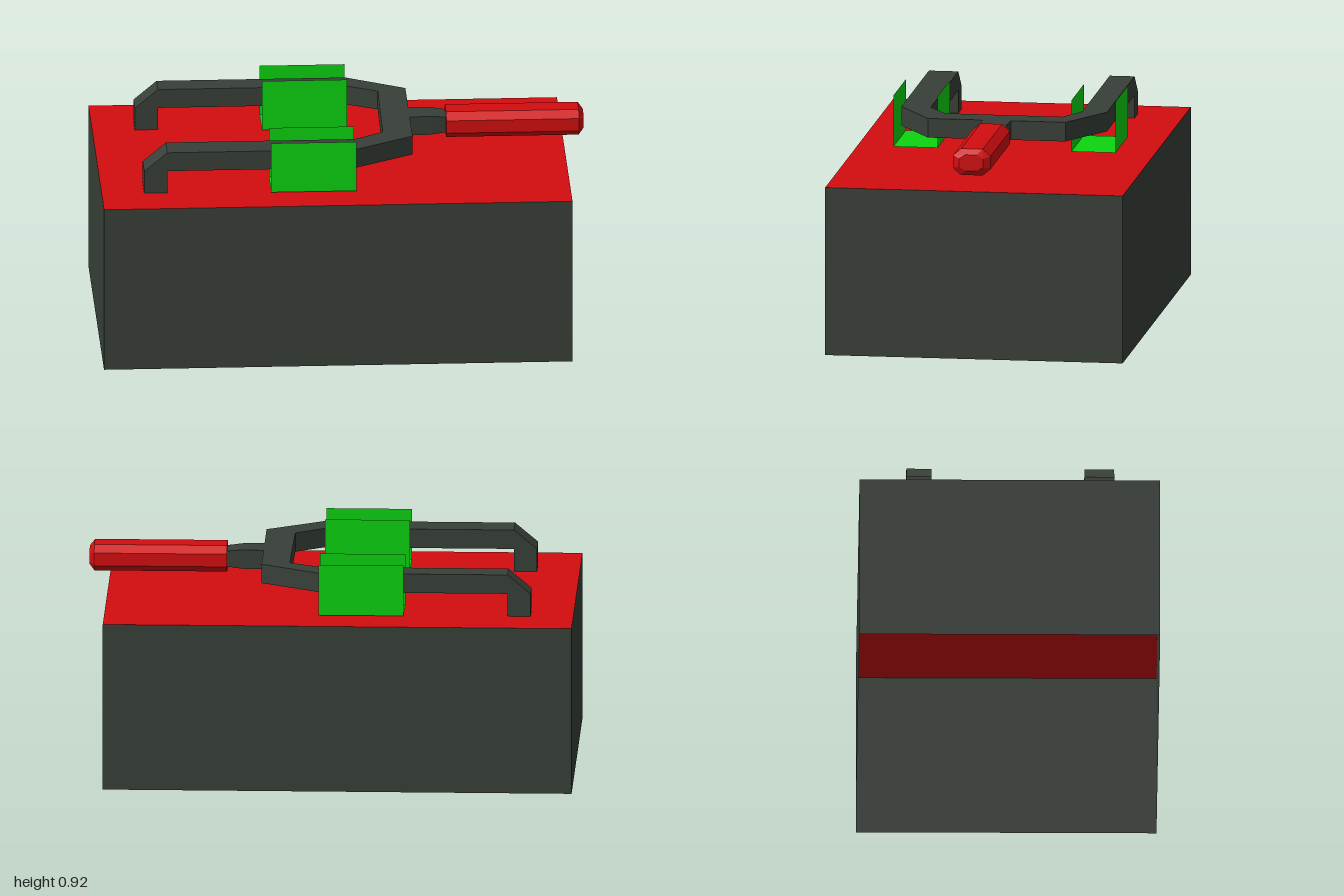
import * as THREE from 'three';

const material = (name, color) => {
  const m = new THREE.MeshStandardMaterial({ color, flatShading: true, side: THREE.DoubleSide });
  m.name = name;
  return m;
};

// Loft closed [y, z] rings along x, with both ends capped.
function loft(sections) {
  const n = sections[0].ring.length, pos = [];
  const at = (s, i) => [s.x, s.ring[i % n][0], s.ring[i % n][1]];
  for (let k = 0; k < sections.length - 1; k++) {
    const a = sections[k], b = sections[k + 1];
    for (let i = 0; i < n; i++) {
      pos.push(...at(a, i), ...at(b, i + 1), ...at(b, i));
      pos.push(...at(a, i), ...at(a, i + 1), ...at(b, i + 1));
    }
  }
  const first = sections[0], last = sections[sections.length - 1];
  for (let i = 1; i < n - 1; i++) {
    pos.push(...at(first, 0), ...at(first, i + 1), ...at(first, i));
    pos.push(...at(last, 0), ...at(last, i), ...at(last, i + 1));
  }
  const g = new THREE.BufferGeometry();
  g.setAttribute('position', new THREE.Float32BufferAttribute(pos, 3));
  g.computeVertexNormals();
  return g;
}

// Cut-corner ring: half height h, half width w, half flats fh (side) and fw (top).
const octagon = (cy, h, w, fh, fw) => [
  [h, fw], [h, -fw], [fh, -w], [-fh, -w], [-h, -fw], [-h, fw], [-fh, w], [fh, w],
].map(([y, z]) => [cy + y, z]);

const rect = (y0, y1, w) => [[y1, w], [y1, -w], [y0, -w], [y0, w]];

const polygon = (pts) => new THREE.Shape(pts.map(([x, y]) => new THREE.Vector2(x, y)));
const extrude = (pts, depth) =>
  new THREE.ExtrudeGeometry(polygon(pts), { depth, bevelEnabled: false });

export function createModel() {
  const model = new THREE.Group();
  model.name = 'knifeSwitch';
  const dark = material('darkGrey', 0x383f38);
  const red = material('red', 0xd30d0f);
  const green = material('green', 0x0cd410);

  const add = (name, geometry, mat, parent = model) => {
    const mesh = new THREE.Mesh(geometry, mat);
    mesh.name = name;
    parent.add(mesh);
    return mesh;
  };

  // Hollow base, open underneath
  const X0 = -1, X1 = 0.925, H = 0.7, Z = 0.617;
  const cx = (X0 + X1) / 2, W = X1 - X0;
  for (const s of [1, -1]) {
    const turn = s > 0 ? 0 : Math.PI;
    add(s > 0 ? 'frontWall' : 'backWall',
      new THREE.PlaneGeometry(W, H).rotateY(turn).translate(cx, H / 2, s * Z), dark);
    add(s > 0 ? 'leftWall' : 'rightWall',
      new THREE.PlaneGeometry(2 * Z, H).rotateY(s * Math.PI / 2)
        .translate(s > 0 ? X1 : X0, H / 2, 0), dark);
  }
  add('topPanel', new THREE.PlaneGeometry(W, 2 * Z).rotateX(-Math.PI / 2).translate(cx, H, 0), red);

  // Forked lever, outlined as [x, z] and raised to its thickness
  const y0 = 0.795, y1 = 0.875, hookX = -0.73;
  const outline = [
    [hookX, 0.43], [0.045, 0.43], [0.285, 0.285], [0.285, -0.285], [0.045, -0.423],
    [hookX, -0.423], [hookX, -0.32], [0.045, -0.32], [0.17, -0.255],
    [0.165, 0.23], [0.045, 0.308], [hookX, 0.308],
  ];
  add('fork', extrude(outline.map(([x, z]) => [x, -z]), y1 - y0)
    .rotateX(-Math.PI / 2).translate(0, y0, 0), dark);

  // Bent feet at the ends of the fork
  const hook = [[-0.825, H], [hookX, H], [hookX, y1], [-0.825, y0]];
  for (const [name, z0, z1] of [['frontFoot', 0.308, 0.43], ['backFoot', -0.423, -0.32]]) {
    add(name, extrude(hook, z1 - z0).translate(0, 0, z0), dark);
  }

  // Stem tapering into the handle
  add('stem', loft([
    { x: 0.28, ring: rect(y0, y1, 0.06) },
    { x: 0.37, ring: rect(y0, y1, 0.055) },
    { x: 0.437, ring: rect(0.802, 0.868, 0.048) },
  ]), dark);

  // Eight-sided grip with a chamfered tip
  const grip = octagon(0.835, 0.055, 0.078, 0.027, 0.045);
  add('handle', loft([
    { x: 0.435, ring: grip },
    { x: 0.98, ring: grip },
    { x: 1.0, ring: octagon(0.835, 0.034, 0.05, 0.017, 0.024) },
  ]), red);

  // Thin U-shaped contact clips around the arms
  const c0 = -0.305, c1 = 0.045, cMid = (c0 + c1) / 2, low = 0.706, high = 0.92;
  for (const [name, z0, z1] of [['frontClip', 0.28, 0.463], ['backClip', -0.458, -0.275]]) {
    const clip = new THREE.Group();
    clip.name = name;
    for (const z of [z0, z1]) {
      add('clipPlate', new THREE.PlaneGeometry(c1 - c0, high - low)
        .rotateY(z === z1 ? 0 : Math.PI).translate(cMid, (low + high) / 2, z), green, clip);
    }
    add('clipFloor', new THREE.PlaneGeometry(c1 - c0, z1 - z0)
      .rotateX(-Math.PI / 2).translate(cMid, low, (z0 + z1) / 2), green, clip);
    model.add(clip);
  }
  return model;
}
